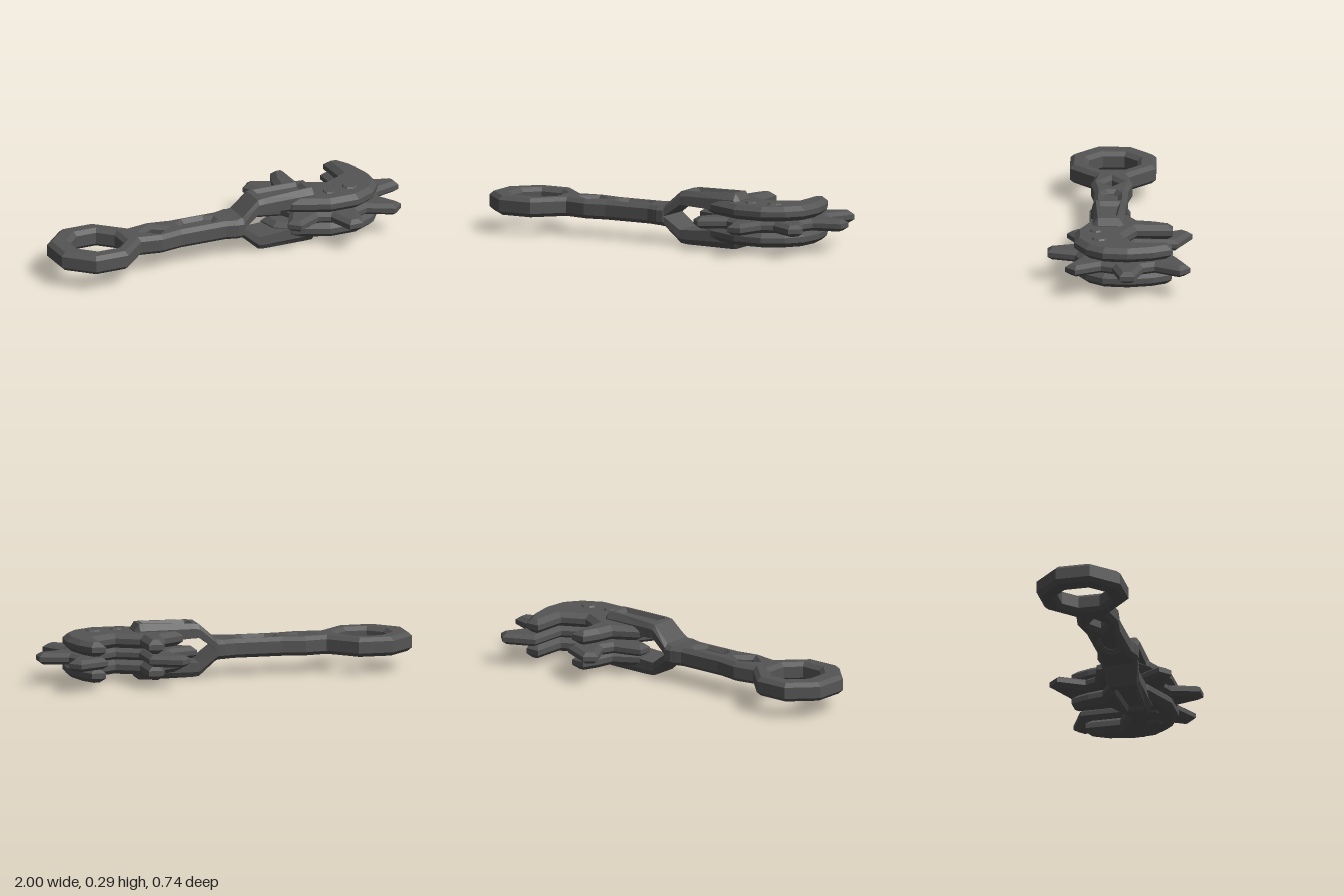
import * as THREE from 'three';

const MID = 0.15;   // height of the central plane
const AXIS = 0.05;  // z of the handle's centre line
const steel = new THREE.MeshStandardMaterial({ color: 0x555555, flatShading: true });

function addMesh(parent, name, geometry, x = 0, y = 0, z = 0) {
  const mesh = new THREE.Mesh(geometry, steel);
  mesh.name = name;
  mesh.position.set(x, y, z);
  parent.add(mesh);
  return mesh;
}

const toVectors = (pts) => pts.map(([x, z]) => new THREE.Vector2(x, z));

// Bevelled flat plate drawn in x/z, centred on y = 0
function plate(outline, holes, thickness, bevelThickness, bevelSize) {
  const shape = new THREE.Shape(toVectors(outline));
  holes.forEach((h) => shape.holes.push(new THREE.Path(toVectors(h))));
  const depth = thickness - 2 * bevelThickness;
  const geo = new THREE.ExtrudeGeometry(shape, {
    depth, bevelThickness, bevelSize, bevelOffset: -bevelSize, bevelSegments: 1,
  });
  return geo.translate(0, 0, -depth / 2).rotateX(Math.PI / 2);
}

// Rectangle with cut corners: half sizes a, b and the cut's remaining half lengths
const cutRect = (cx, cz, a, b, fa, fb) => [
  [a, -fb], [a, fb], [fa, b], [-fa, b], [-a, fb], [-a, -fb], [-fa, -b], [fa, -b],
].map(([x, z]) => [cx + x, cz + z]);

// Handle: octagonal ring, bar, diamond opening and shallow pocket
function handleGeometry() {
  const half = [
    [-1, 0.09], [-0.867, 0.222], [-0.683, 0.222], [-0.545, 0.088], [-0.43, 0.108],
    [-0.31, 0.087], [-0.06, 0.087], [0, 0.105], [0.04, 0.105],
  ];
  const outline = [
    ...half.map(([x, w]) => [x, AXIS - w]),
    ...half.slice().reverse().map(([x, w]) => [x, AXIS + w]),
  ];
  const ring = cutRect(-0.757, AXIS, 0.125, 0.125, 0.055, 0.055);
  const diamond = [[-0.365, AXIS], [-0.43, AXIS + 0.047], [-0.495, AXIS], [-0.43, AXIS - 0.047]];
  const pocket = cutRect(-0.188, AXIS, 0.088, 0.036, 0.055, 0.015);
  return plate(outline, [ring, diamond, pocket], 0.1, 0.02, 0.022);
}

// Fork arm: lofted chamfered sections with a sunken panel on the outer face
function armGeometry() {
  // x, underside, top, half width, half width of top, panel depth
  const sections = [
    [-0.02, 0, 0.048, 0.1, 0.075, 0],
    [0.04, 0, 0.055, 0.098, 0.075, 0],
    [0.13, 0.065, 0.135, 0.086, 0.07, 0],
    [0.16, 0.064, 0.139, 0.086, 0.07, 0],
    [0.18, 0.063, 0.14, 0.085, 0.069, 0.022],
    [0.4, 0.05, 0.145, 0.08, 0.056, 0.022],
    [0.42, 0.05, 0.145, 0.08, 0.055, 0],
    [0.445, 0.05, 0.145, 0.08, 0.053, 0],
    [0.47, 0.05, 0.11, 0.072, 0.05, 0],
  ];
  const pos = [], idx = [];
  for (const [x, yb, yt, w, wt, d] of sections) {
    const ym = yt - (yt - yb) * 0.35, p = wt - 0.01, q = wt - 0.022;
    const loop = [
      [yb, -w], [yb, w], [ym, w], [yt, wt], [yt, p],
      [yt - d, q], [yt - d, -q], [yt, -p], [yt, -wt], [ym, -w],
    ];
    loop.forEach(([y, z]) => pos.push(x, y, z));
  }
  const n = 10, last = (sections.length - 1) * n;
  for (let i = 0; i < last; i += n) {
    for (let j = 0; j < n; j++) {
      const k = (j + 1) % n;
      idx.push(i + j, i + n + j, i + k, i + k, i + n + j, i + n + k);
    }
  }
  for (let j = 1; j < n - 1; j++) {
    idx.push(0, j, j + 1, last, last + j + 1, last + j);
  }
  const geo = new THREE.BufferGeometry();
  geo.setAttribute('position', new THREE.Float32BufferAttribute(pos, 3));
  geo.setIndex(idx);
  const flat = geo.toNonIndexed();
  flat.computeVertexNormals();
  return flat;
}

// Toothed wheel: seven blunt spikes, with the eighth replaced by a notch
function wheelGeometry() {
  const cx = 0.58, cz = -0.06, pts = [];
  for (let k = -1; k <= 5; k++) {
    const a = (k * Math.PI) / 4, c = Math.cos(a), s = Math.sin(a);
    const tooth = [[0.275, -0.08], [0.42, -0.038], [0.42, 0.038], [0.275, 0.08]];
    if (k === -1) tooth.shift();
    if (k === 5) tooth.pop();
    tooth.forEach(([r, t]) => pts.push([cx + r * c - t * s, cz + r * s + t * c]));
  }
  pts.push([0.47, -0.31], [0.47, -0.1], [0.58, -0.045], [0.69, -0.1], [0.69, -0.31]);
  return plate(pts, [], 0.06, 0.018, 0.024);
}

// Jaw plate: open-ended disc with a pointed shoulder under the arm
function jawGeometry() {
  return plate([
    [0.695, -0.285], [0.77, -0.285], [0.82, -0.19], [0.848, -0.06], [0.835, 0.07],
    [0.77, 0.16], [0.66, 0.22], [0.5, 0.22], [0.4, 0.175], [0.32, 0.14],
    [0.24, 0.07], [0.22, -0.04], [0.34, -0.11], [0.355, -0.19], [0.39, -0.285],
    [0.465, -0.285], [0.465, -0.1], [0.58, -0.04], [0.695, -0.1],
  ], [], 0.076, 0.024, 0.028);
}

export function createModel() {
  const model = new THREE.Group();
  model.name = 'wrench';

  addMesh(model, 'handle', handleGeometry(), 0, MID, 0);
  addMesh(model, 'handlePocketFloor', new THREE.BoxGeometry(0.23, 0.056, 0.12), -0.188, MID, AXIS);
  addMesh(model, 'toothedWheel', wheelGeometry(), 0, MID, 0);

  // Upper and lower halves of the head
  const arm = armGeometry(), jaw = jawGeometry();
  for (const side of [1, -1]) {
    const label = side > 0 ? 'upper' : 'lower';
    const forkArm = addMesh(model, label + 'ForkArm', arm, 0, MID, AXIS);
    if (side < 0) forkArm.rotation.x = Math.PI;
    addMesh(model, label + 'Jaw', jaw, 0, MID + side * 0.068, 0);

    for (const [x, z, r] of [[0.54, 0.11, 0.04], [0.667, 0.09, 0.05]]) {
      const radii = side > 0 ? [r * 0.7, r] : [r, r * 0.7];
      const bolt = new THREE.CylinderGeometry(...radii, 0.018, 8);
      addMesh(model, label + 'Bolt', bolt, x, MID + side * 0.105, z);
    }
  }
  // Core joining the wheel to both jaws
  addMesh(model, 'hub', new THREE.CylinderGeometry(0.07, 0.07, 0.1, 8), 0.58, MID, 0.08);
  return model;
}
